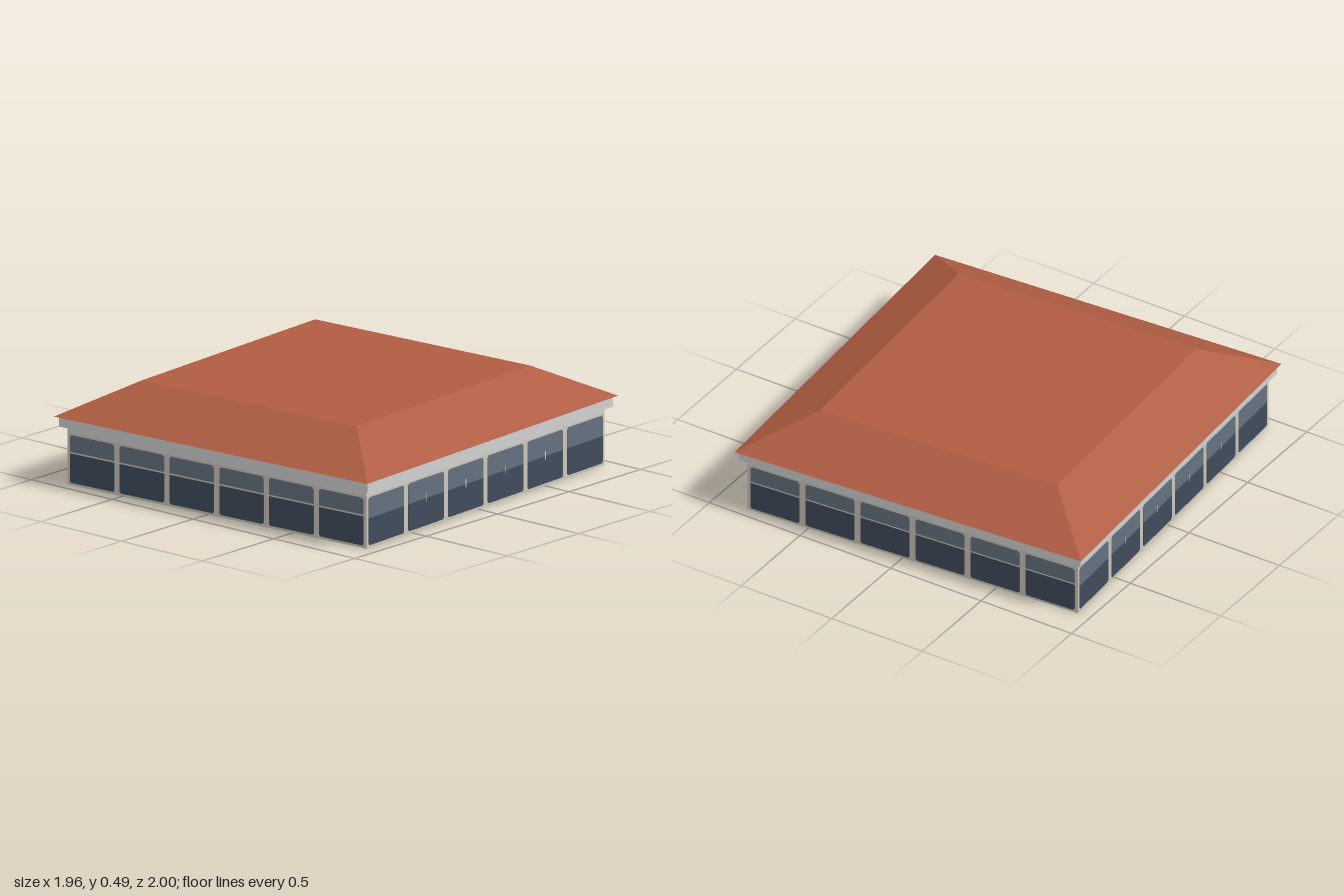
import * as THREE from 'three';

const mat = (name, color) => {
  const m = new THREE.MeshStandardMaterial({ color });
  m.name = name;
  return m;
};

export function createModel() {
  const terracotta = mat('terracotta roof', 0xb05c42);
  const grey = mat('light grey trim', 0xd0d0d0);
  const beige = mat('beige wall', 0xccc5b8);
  const darkGlass = mat('dark glass', 0x3f4b5c);
  const paleGlass = mat('pale glass', 0x64717f);

  const model = new THREE.Group();
  model.name = 'pavilion';
  const building = new THREE.Group();
  building.name = 'building';
  building.rotation.y = 0.061; // stands slightly turned on its plot
  model.add(building);

  const add = (parent, name, geometry, material, x = 0, y = 0, z = 0) => {
    const mesh = new THREE.Mesh(geometry, material);
    mesh.name = name;
    mesh.position.set(x, y, z);
    parent.add(mesh);
    return mesh;
  };
  const box = (parent, name, material, w, h, d, x, y, z) =>
    add(parent, name, new THREE.BoxGeometry(w, h, d), material, x, y, z);

  const wallW = 0.879, wallD = 0.897; // half sizes of the wall ring
  const T = 0.005, paneT = 0.009;     // wall and pane thickness

  // Pane with small chamfers at its top or bottom corners, seen from both sides of the wall
  const pane = (w, y0, y1, topCut, bottomCut) => {
    const h = w / 2, s = new THREE.Shape();
    s.moveTo(-h + bottomCut, y0);
    s.lineTo(h - bottomCut, y0);
    s.lineTo(h, y0 + bottomCut);
    s.lineTo(h, y1 - topCut);
    s.lineTo(h - topCut, y1);
    s.lineTo(-h + topCut, y1);
    s.lineTo(-h, y1 - topCut);
    s.lineTo(-h, y0 + bottomCut);
    s.closePath();
    const g = new THREE.ExtrudeGeometry(s, { depth: paneT, bevelEnabled: false });
    return g.translate(0, 0, -paneT / 2);
  };

  // One wall with six glazed bays
  const makeWall = (name, half, dist, angle, hasTransom) => {
    const wall = new THREE.Group();
    wall.name = name;
    wall.rotation.y = angle;
    building.add(wall);
    const z = dist - T / 2;
    box(wall, 'wallPanel', beige, half * 2, 0.25, T, 0, 0.125, z);
    box(wall, 'frieze', grey, half * 2, 0.08, T, 0, 0.29, z);
    const pitch = (half * 2) / 6, w = pitch - 0.032;
    const split = hasTransom ? 0.153 : 0.143;
    const lower = pane(w, 0.012, split, 0, 0.008);
    const upper = pane(w, split + (hasTransom ? 0.008 : 0), 0.242, 0.01, 0);
    for (let i = 0; i < 6; i++) {
      const x = -half + pitch * (i + 0.5);
      add(wall, 'lowerPane', lower, darkGlass, x, 0, z);
      add(wall, 'upperPane', upper, paleGlass, x, 0, z);
      // Small glazing mark in the middle bays
      if (!hasTransom && i > 0 && i < 5) {
        box(wall, 'glazingMark', beige, 0.006, 0.04, paneT + 0.0005, x, 0.147, z);
      }
    }
  };
  makeWall('frontWall', wallW, wallD, 0, true);
  makeWall('backWall', wallW, wallD, Math.PI, true);
  makeWall('leftWall', wallD, wallW, Math.PI / 2, false);
  makeWall('rightWall', wallD, wallW, -Math.PI / 2, false);

  // Fascia ring under the eaves
  const ring = new THREE.Shape();
  const rect = (p, w, d) => {
    p.moveTo(-w, -d);
    p.lineTo(w, -d);
    p.lineTo(w, d);
    p.lineTo(-w, d);
    p.closePath();
    return p;
  };
  rect(ring, 0.908, 0.924);
  ring.holes.push(rect(new THREE.Path(), wallW - 0.002, wallD - 0.002));
  const fascia = new THREE.ExtrudeGeometry(ring, { depth: 0.05, bevelEnabled: false });
  fascia.rotateX(-Math.PI / 2);
  add(building, 'fascia', fascia, grey, 0, 0.28, 0);

  // Hipped roof with a flat top and a grey ceiling underneath
  const roof = new THREE.BoxGeometry(2, 0.16, 2);
  const p = roof.attributes.position;
  for (let i = 0; i < p.count; i++) {
    const top = p.getY(i) > 0;
    p.setX(i, p.getX(i) * (top ? 0.632 : 0.922));
    p.setZ(i, p.getZ(i) * (top ? 0.652 : 0.944));
  }
  roof.computeVertexNormals();
  add(building, 'roof', roof, [terracotta, terracotta, terracotta, grey, terracotta, terracotta], 0, 0.41, 0);

  return model;
}
